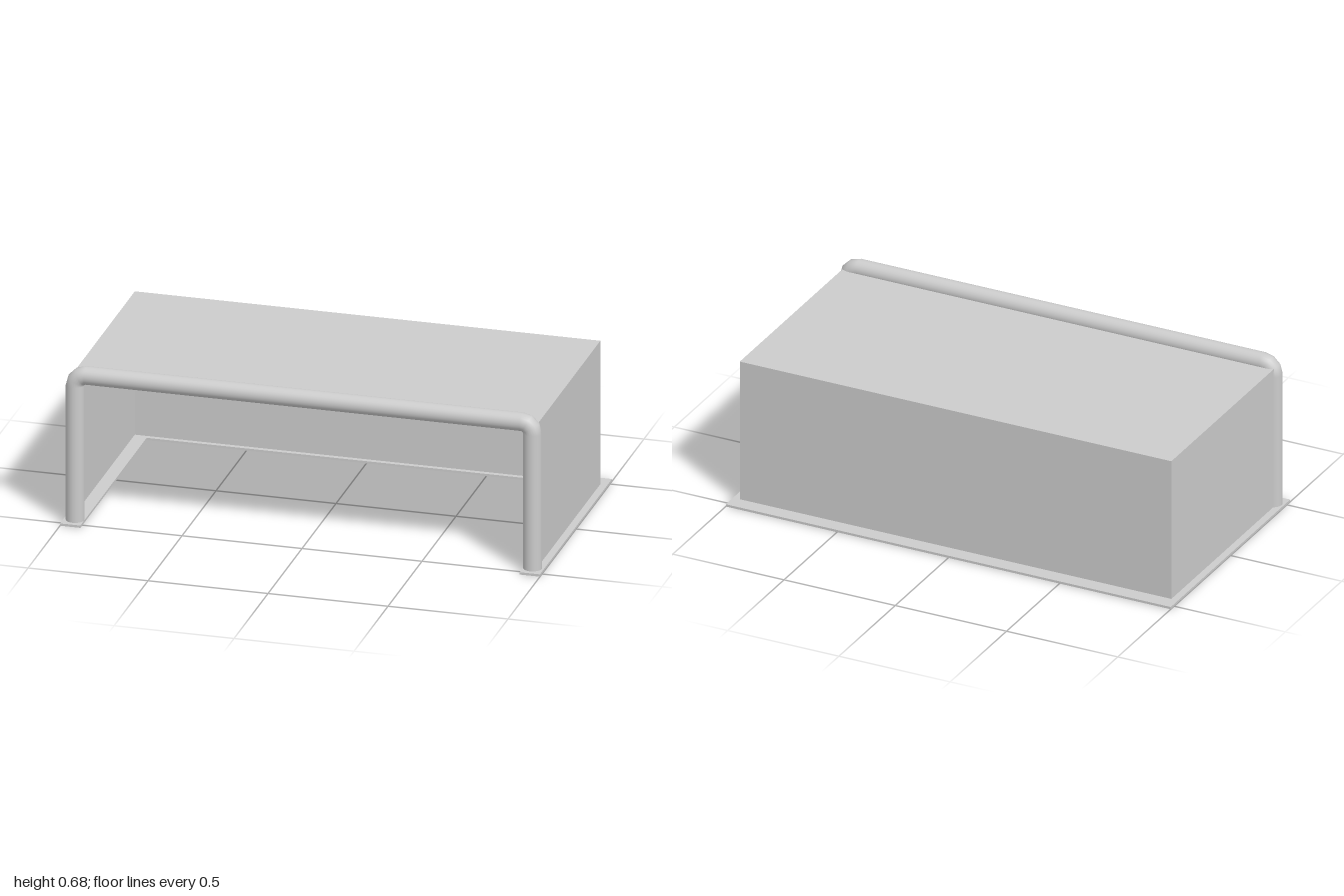
import * as THREE from 'three';

const grey = new THREE.MeshStandardMaterial({ color: 0xcccccc });
const greyThin = new THREE.MeshStandardMaterial({ color: 0xcccccc, side: THREE.DoubleSide });

export function createModel() {
  const model = new THREE.Group();
  const add = (parent, name, geometry, material = grey) => {
    const mesh = new THREE.Mesh(geometry, material);
    mesh.name = name;
    parent.add(mesh);
    return mesh;
  };

  // Flat U-shaped ground frame, open at the front
  const halfW = 1, halfD = 0.53, strip = 0.085, thick = 0.01;
  const inner = halfW - strip;
  const outline = new THREE.Shape([
    [-halfW, -halfD], [-inner, -halfD], [-inner, halfD - strip], [inner, halfD - strip],
    [inner, -halfD], [halfW, -halfD], [halfW, halfD], [-halfW, halfD],
  ].map(([x, y]) => new THREE.Vector2(x, y)));
  const base = new THREE.ExtrudeGeometry(outline, { depth: thick, bevelEnabled: false });
  base.rotateX(-Math.PI / 2);
  add(model, 'groundFrame', base);

  // Round tubular goal frame: posts, rounded corners, crossbar
  const r = 0.038, bend = 0.045, postX = 0.953, barY = 0.638;
  const frame = new THREE.Group();
  frame.name = 'goalFrame';
  frame.position.z = 0.472;
  model.add(frame);
  const postH = barY - bend - thick;
  for (const side of [1, -1]) {
    const label = side > 0 ? 'left' : 'right';
    const post = add(frame, label + 'Post', new THREE.CylinderGeometry(r, r, postH, 24));
    post.position.set(side * postX, thick + postH / 2, 0);
    const corner = add(frame, label + 'Corner', new THREE.TorusGeometry(bend, r, 24, 3, Math.PI / 2));
    corner.position.set(side * (postX - bend), barY - bend, 0);
    if (side < 0) corner.rotation.y = Math.PI;
  }
  const bar = add(frame, 'crossbar', new THREE.CylinderGeometry(r, r, 2 * (postX - bend), 24));
  bar.rotation.z = Math.PI / 2;
  bar.position.y = barY;

  // Thin net panels: top, back and two sides
  const netX = 0.97, netTop = 0.63, netBack = -0.465, netFront = 0.472;
  const netH = netTop - thick, netD = netFront - netBack;
  const midY = thick + netH / 2, midZ = (netFront + netBack) / 2;
  const net = new THREE.Group();
  net.name = 'net';
  model.add(net);
  const top = add(net, 'netTop', new THREE.PlaneGeometry(2 * netX, netD), greyThin);
  top.rotation.x = -Math.PI / 2;
  top.position.set(0, netTop, midZ);
  const back = add(net, 'netBack', new THREE.PlaneGeometry(2 * netX, netH), greyThin);
  back.rotation.y = Math.PI;
  back.position.set(0, midY, netBack);
  for (const side of [1, -1]) {
    const panel = add(net, side > 0 ? 'netLeft' : 'netRight', new THREE.PlaneGeometry(netD, netH), greyThin);
    panel.rotation.y = side * Math.PI / 2;
    panel.position.set(side * netX, midY, midZ);
  }
  return model;
}
